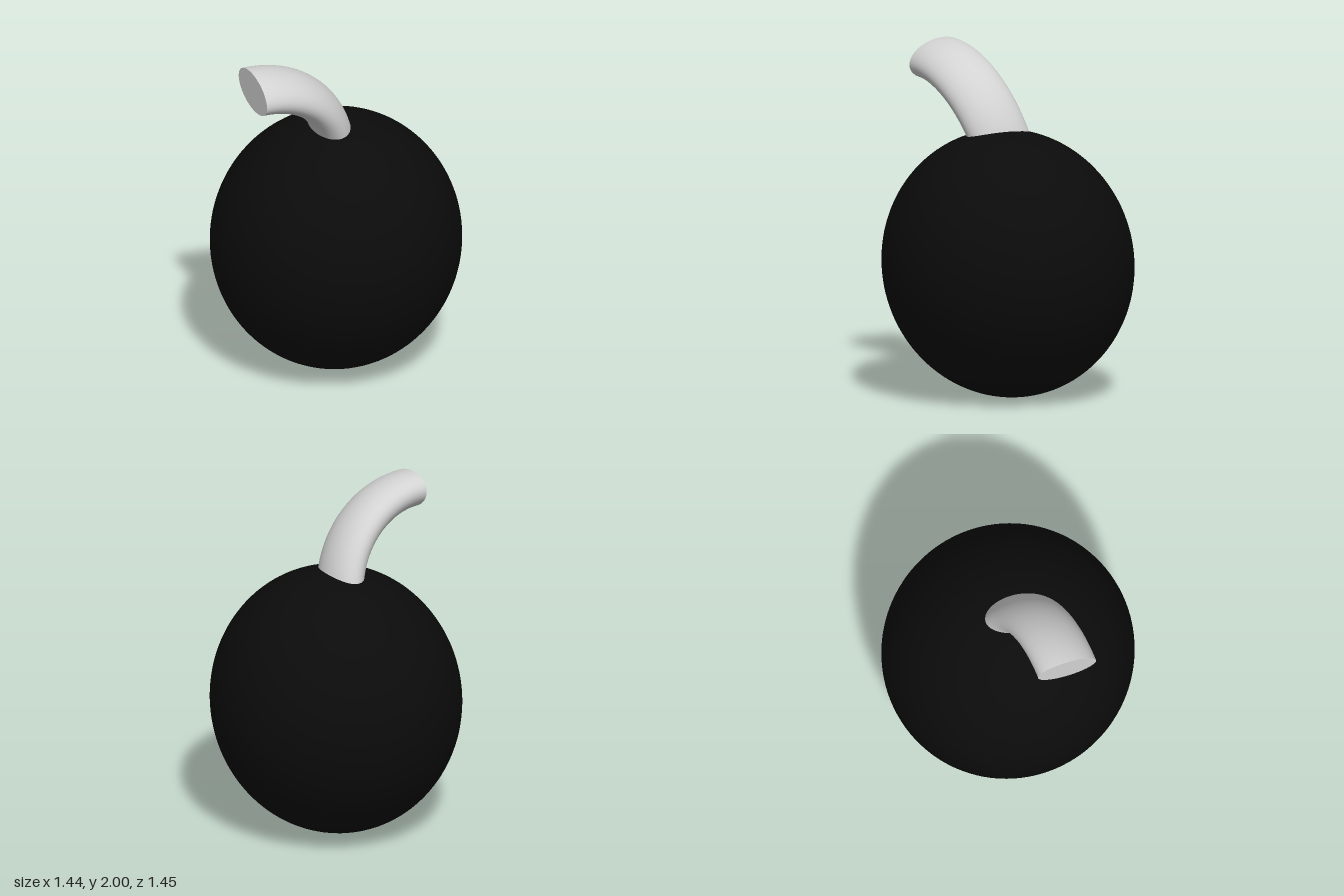
import * as THREE from 'three';

export function createModel() {
  const black = new THREE.MeshStandardMaterial({ color: 0x0b0b0b });
  black.name = 'black';
  const paleGrey = new THREE.MeshStandardMaterial({ color: 0xd2d2d2 });
  paleGrey.name = 'paleGrey';

  const model = new THREE.Group();
  model.name = 'roundFruit';

  // Everything leans forward by the same angle about the body's centre
  const leaning = new THREE.Group();
  leaning.name = 'leaningAssembly';
  leaning.position.y = 0.77;
  leaning.rotation.x = THREE.MathUtils.degToRad(15);
  model.add(leaning);

  // Slightly tall egg-shaped body
  const body = new THREE.Mesh(new THREE.SphereGeometry(1, 96, 64), black);
  body.name = 'body';
  body.scale.set(0.72, 0.774, 0.72);
  leaning.add(body);

  // Stem: quarter ring widened in depth to an oval section
  const bend = 0.575, thickness = 0.1085, widen = 1.67;
  const stem = new THREE.Group();
  stem.name = 'stem';
  stem.position.set(-0.602, 0.536, -0.16);
  stem.scale.z = widen;
  leaning.add(stem);

  const tube = new THREE.Mesh(new THREE.TorusGeometry(bend, thickness, 48, 64, Math.PI / 2), paleGrey);
  tube.name = 'stemTube';
  stem.add(tube);

  // Flat cut end facing the model's right
  const cut = new THREE.Mesh(new THREE.CircleGeometry(thickness, 48), paleGrey);
  cut.name = 'stemCutEnd';
  cut.position.y = bend;
  cut.rotation.y = -Math.PI / 2;
  stem.add(cut);

  return model;
}
